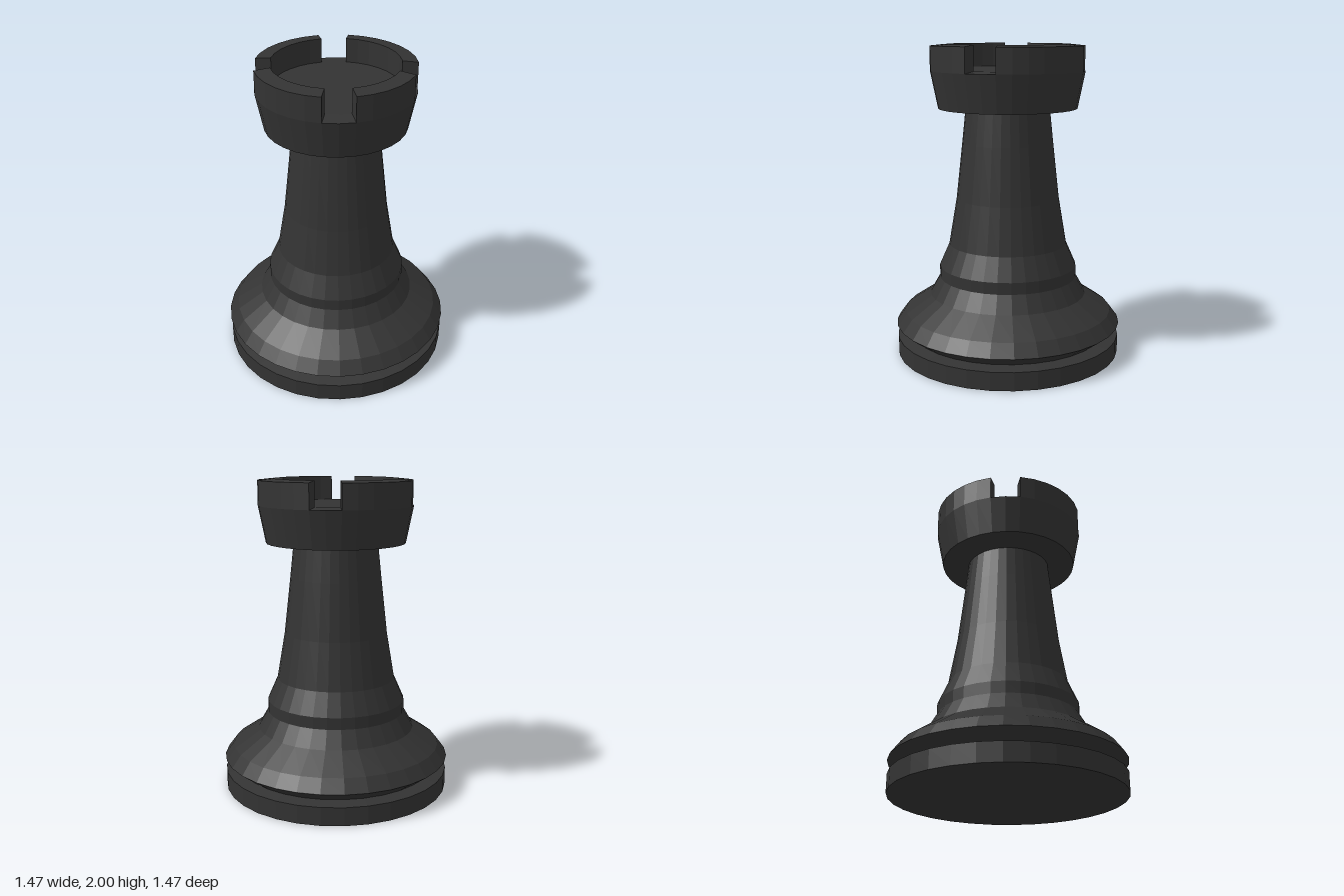
import * as THREE from 'three';

const SEGMENTS = 32;
const STEP = (Math.PI * 2) / SEGMENTS;
const material = new THREE.MeshStandardMaterial({ color: 0x333333, flatShading: true });
const capMaterial = new THREE.MeshStandardMaterial({ color: 0x333333, flatShading: true, side: THREE.DoubleSide });

const toPoints = (profile) => profile.map(([r, y]) => new THREE.Vector2(r, y));

// Full turned part from a [radius, height] profile
function turned(name, profile) {
  const mesh = new THREE.Mesh(new THREE.LatheGeometry(toPoints(profile), SEGMENTS), material);
  mesh.name = name;
  return mesh;
}

// Raised wall block spanning whole facets, counted anticlockwise from +x seen from above
function merlon(from, to) {
  const section = toPoints([[0.49, 1.835], [0.49, 1.99], [0.393, 2], [0.393, 1.845]]);
  const group = new THREE.Group();
  group.name = 'merlon';
  const wall = new THREE.LatheGeometry(section, to - from, from * STEP + Math.PI / 2, (to - from) * STEP);
  group.add(new THREE.Mesh(wall, material));
  // Flat ends facing the gaps
  for (const facet of [from, to]) {
    const cap = new THREE.Mesh(new THREE.ShapeGeometry(new THREE.Shape(section)), capMaterial);
    cap.rotation.y = facet * STEP;
    group.add(cap);
  }
  return group;
}

export function createModel() {
  const model = new THREE.Group();
  model.name = 'rook';

  // Foot disc
  model.add(turned('foot', [[0, 0], [0.73, 0], [0.73, 0.117], [0.64, 0.128]]));
  // Flared skirt above the groove
  model.add(turned('skirt', [[0.64, 0.128], [0.735, 0.2], [0.675, 0.28], [0.51, 0.39], [0.447, 0.5]]));
  // Collar and tapering column
  model.add(turned('column', [[0.447, 0.5], [0.447, 0.575], [0.383, 0.72], [0.332, 1.02], [0.292, 1.38], [0.27, 1.59]]));
  // Turret cup with its floor
  model.add(turned('turret', [[0.27, 1.587], [0.443, 1.6], [0.49, 1.835], [0.393, 1.845], [0, 1.845]]));

  // Battlements: four blocks with two-facet gaps between them
  const battlements = new THREE.Group();
  battlements.name = 'battlements';
  for (const [from, to] of [[-3, 2], [4, 11], [13, 19], [21, 27]]) battlements.add(merlon(from, to));
  model.add(battlements);

  return model;
}
